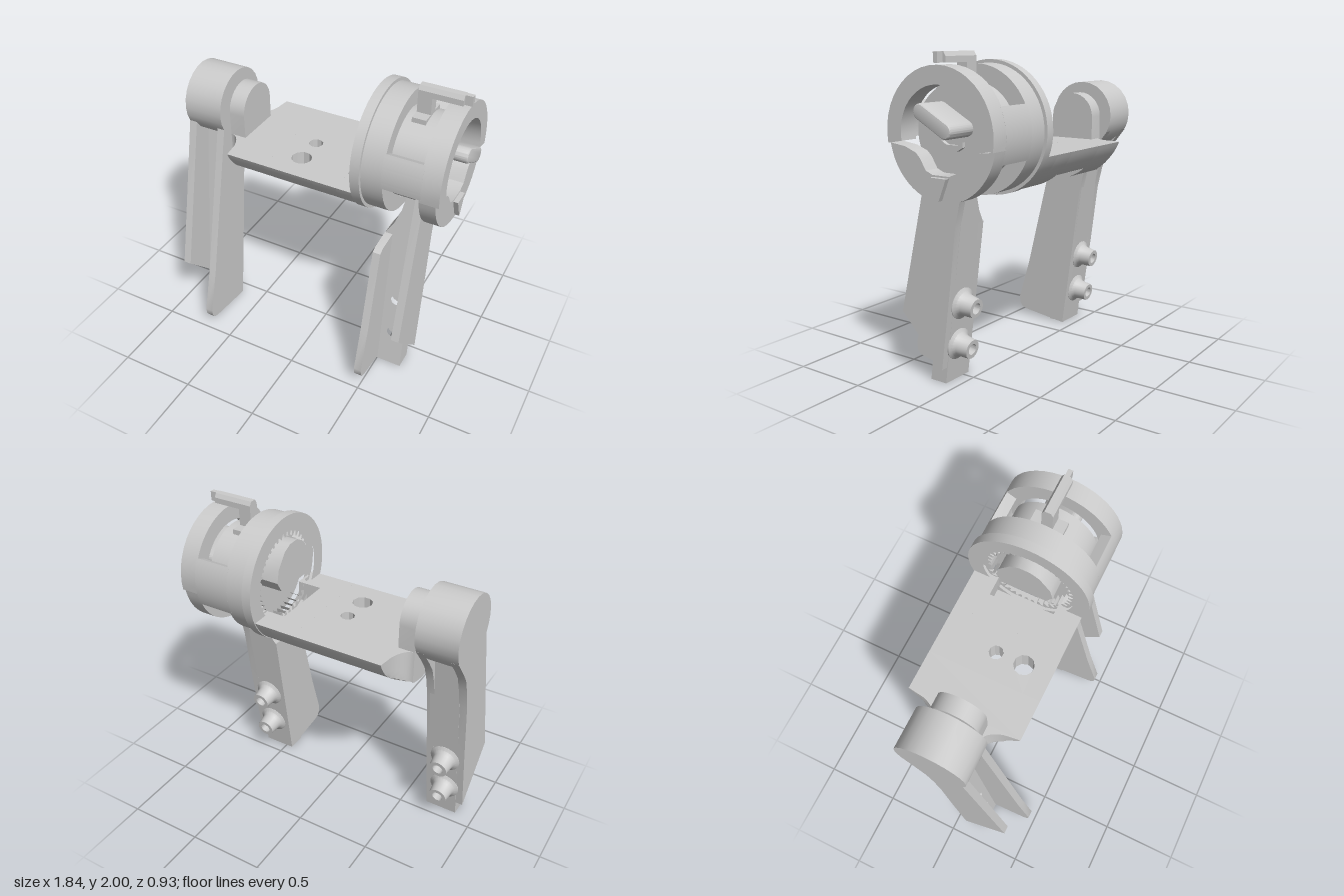
import * as THREE from 'three';
import { toCreasedNormals } from 'three/addons/utils/BufferGeometryUtils.js';

const CY = 1.55, CZ = -0.063;          // main axis, running along x
const D = Math.PI / 180;
const material = new THREE.MeshStandardMaterial({ color: 0xcccccc });

function add(group, name, geometry) {
  const mesh = new THREE.Mesh(toCreasedNormals(geometry, 0.5), material);
  mesh.name = name;
  group.add(mesh);
  return mesh;
}

// Shapes are drawn in the side plane as (-z, y) and extruded along x.
const side = pts => new THREE.Shape(pts.map(([z, y]) => new THREE.Vector2(-z, y)));

function along(shape, x0, x1, options = {}) {
  const b = options.bevelSize || 0;
  const g = new THREE.ExtrudeGeometry(shape, {
    depth: x1 - x0 - 2 * b, bevelEnabled: b > 0, bevelThickness: b, curveSegments: 32, ...options });
  return g.translate(0, 0, x0 + b).rotateY(Math.PI / 2);
}

// Points on a circle about the axis; angle 0 is the front, 90 the top.
function arc(r, a0, a1, n = 24) {
  return Array.from({ length: n + 1 }, (_, i) => {
    const a = (a0 + (a1 - a0) * i / n) * D;
    return [CZ + r * Math.cos(a), CY + r * Math.sin(a)];
  });
}
const sector = (r0, r1, a0, a1) => side([...arc(r1, a0, a1), ...arc(r0, a1, a0)]);

function ring(inner, r) {
  const s = side(arc(r, 0, 360, 64).slice(0, -1));
  s.holes.push(new THREE.Path(inner.map(([z, y]) => new THREE.Vector2(-z, y))));
  return s;
}
const circle = r => arc(r, 0, 360, 64).slice(0, -1);

function box(x0, x1, y0, y1, z0, z1) {
  return new THREE.BoxGeometry(x1 - x0, y1 - y0, z1 - z0)
    .translate((x0 + x1) / 2, (y0 + y1) / 2, (z0 + z1) / 2);
}

// One leg: a is the distance of its inner face from x = 0, s its side.
function makeLeg(name, s, a, tapered) {
  const leg = new THREE.Group();
  leg.name = name;
  const span = (shape, x0, x1) => along(shape, Math.min(s * x0, s * x1), Math.max(s * x0, s * x1));
  const front = [[0.13, 1.46], [0.18, 1.25], [0.38, 0.42]];
  const back = [[0, 0.6], [-0.05, 1], [-0.085, 1.15], [-0.12, 1.25], [-0.175, 1.33], [-0.26, 1.44]];
  const foot = [[0.465, 0.13], [0.46, 0.085], [0.44, 0.055], [0.4, 0.043], [0.08, 0]];
  add(leg, 'outerFin', span(side([...front, [0.07, 0.105], ...back]), a + 0.21, a + 0.262));
  add(leg, 'innerFin', span(side(tapered
    ? [[0.21, 0.98], [0.245, 0.96], [0.38, 0.42], ...foot, [0, 0.6], [-0.053, 1]]
    : [...front, ...foot, ...back]), a, a + 0.05));

  // Sloping web with two through holes
  const edge = tapered
    ? [[0, 0], [0, 0.99], [0.05, 1.07], [0.09, 1.17], [0.11, 1.28], [0.12, 1.45]]
    : [[0.02, 0], [0.02, 1.45]];
  const web = new THREE.Shape([...edge, [0.215, 1.45], [0.215, 0]]
    .map(([x, y]) => new THREE.Vector2(s * (a + x), y)));
  for (const y of [0.515, 0.255]) {
    const hole = new THREE.Path();
    hole.absarc(s * (a + 0.13), y, 0.035, 0, 2 * Math.PI, true);
    web.holes.push(hole);
  }
  const g = new THREE.ExtrudeGeometry(web, { depth: 0.12, bevelEnabled: false });
  const p = g.attributes.position;
  for (let i = 0; i < p.count; i++) p.setZ(i, p.getZ(i) + 0.08 - 0.133 * p.getY(i));
  add(leg, 'web', g);

  // Flared hollow bosses behind the holes
  for (const y of [0.505, 0.24]) {
    const profile = [[0.035, -0.01], [0.1, -0.01], [0.1, 0.003], [0.08, 0.015], [0.068, 0.035],
      [0.06, 0.11], [0.035, 0.11], [0.035, -0.01]].map(q => new THREE.Vector2(...q));
    const boss = add(leg, 'boss', new THREE.LatheGeometry(profile, 24));
    boss.rotation.x = -Math.PI / 2 - 0.13;
    boss.position.set(s * (a + 0.13), y, 0.08 - 0.133 * y);
  }
  // Pivot head
  if (!tapered) add(leg, 'pivotHead', span(side(arc(0.225, 0, 360, 24).slice(0, -1)), a, a + 0.262));
  return leg;
}

function makeTrough() {
  const t = new THREE.Group();
  t.name = 'trough';
  const R = 0.395, A = 22.3, B = 50.5;
  const segment = side(arc(R, -A, -180 + A, 32));
  add(t, 'troughBody', along(segment, -0.53, -0.27));
  add(t, 'troughBody', along(segment, 0.06, 0.22));
  // Pocket below the gear
  add(t, 'troughPocket', along(side([...arc(R, -A, -180 + A, 32),
    [-0.27, 1.4], [-0.27, 1.27], [0.14, 1.27], [0.14, 1.4]]), 0.22, 0.385));

  // Middle part, cut flat underneath and drilled
  add(t, 'troughSide', along(side([...arc(R, -A, -B, 8), [0.188, 1.4]]), -0.27, 0.06));
  add(t, 'troughSide', along(side([...arc(R, -180 + B, -180 + A, 8), [-0.314, 1.4]]), -0.27, 0.06));
  const plate = new THREE.Shape([[-0.27, -0.19], [0.06, -0.19], [0.06, 0.315], [-0.27, 0.315]]
    .map(q => new THREE.Vector2(...q)));
  for (const [z, r] of [[0.12, 0.065], [-0.065, 0.045]]) {
    const hole = new THREE.Path();
    hole.absarc(-0.105, -z, r, 0, 2 * Math.PI, true);
    plate.holes.push(hole);
  }
  add(t, 'drilledPlate', new THREE.ExtrudeGeometry(plate, { depth: 0.155, bevelEnabled: false, curveSegments: 5 })
    .rotateX(-Math.PI / 2).translate(0, 1.245, 0));

  // End narrows in a fillet to the width of the lug
  const end = along(segment, -0.635, -0.53, { steps: 8 });
  const p = end.attributes.position;
  for (let i = 0; i < p.count; i++) {
    const k = Math.min(1, Math.max(0, (p.getX(i) + 0.635) / 0.105));
    const w = 0.155 + 0.21 * (1 - Math.sqrt(1 - k * k));
    p.setZ(i, CZ + Math.min(w, Math.max(-w, p.getZ(i) - CZ)));
  }
  end.computeVertexNormals();
  add(t, 'filletEnd', end);
  add(t, 'lug', along(side([[CZ + 0.155, 1.3], ...arc(0.155, 0, 180, 16), [CZ - 0.155, 1.3]]), -0.635, -0.53));
  add(t, 'pivotNeck', new THREE.CylinderGeometry(0.08, 0.105, 0.035, 32)
    .rotateZ(Math.PI / 2).translate(-0.648, CY, CZ));
  return t;
}

function makeDrum() {
  const d = new THREE.Group();
  d.name = 'drum';
  add(d, 'flange', along(ring(circle(0.3), 0.4), 0.325, 0.385));
  add(d, 'drumWall', along(ring(circle(0.3), 0.38), 0.385, 0.52));
  add(d, 'drumFloor', along(side(circle(0.305)), 0.42, 0.515));

  // Internal gear
  const teeth = [], n = 40;
  for (let i = 0; i < n; i++)
    for (const [f, r] of [[0, 0.285], [0.3, 0.285], [0.5, 0.255], [0.8, 0.255]])
      teeth.push(arc(r, (i + f) * 360 / n, 0, 1)[0]);
  add(d, 'internalGear', along(ring(teeth, 0.302), 0.345, 0.42));
  add(d, 'gearKnob', along(side([[0.12, 1.6], [0.1, 1.68], [0.03, 1.77], [-0.03, 1.8], [-0.1, 1.8],
    [-0.16, 1.77], [-0.23, 1.68], [-0.25, 1.6], [-0.21, 1.53], [0.08, 1.53]]), 0.275, 0.43));

  // Side posts between the windows
  add(d, 'frontPost', along(sector(0.31, 0.38, -7, 26), 0.51, 0.75));
  add(d, 'backPost', along(sector(0.31, 0.38, 154, 203), 0.51, 0.75));

  // Outer ring with a recessed lower shield
  add(d, 'outerRing', along(sector(0.275, 0.38, -10, 190), 0.74, 0.86));
  add(d, 'lowerShield', along(side([...arc(0.38, -10, -170, 32), [-0.33, 1.47], [-0.24, 1.44], [-0.21, 1.41],
    [-0.17, 1.345], [-0.12, 1.325], [0, 1.325], [0.05, 1.345], [0.09, 1.41], [0.12, 1.44], [0.2, 1.47]]), 0.74, 0.84));
  add(d, 'pointer', along(side([[-0.005, 1.315], [-0.12, 1.315], [-0.066, 1.185], [-0.058, 1.185]]), 0.83, 0.87));

  // Hub and its face details
  add(d, 'hub', along(side(circle(0.275)), 0.5, 0.715));
  for (const z of [0.11, -0.235]) {
    const screw = arc(0.036, 0, 360, 20).slice(0, -1).map(([a, b]) => [a - CZ + z, b - CY + 1.665]);
    const socket = arc(0.02, 0, 360, 6).slice(0, -1).map(([a, b]) => [a - CZ + z, b - CY + 1.665]);
    const s = side(screw);
    s.holes.push(new THREE.Path(socket.map(([a, b]) => new THREE.Vector2(-a, b))));
    add(d, 'screw', along(s, 0.71, 0.73));
  }
  add(d, 'chevron', along(side([[0.015, 1.505], [-0.02, 1.485], [-0.1, 1.485], [-0.135, 1.505],
    [-0.135, 1.475], [-0.095, 1.45], [-0.025, 1.45], [0.015, 1.475]]), 0.71, 0.74));

  // Tilted turning handle with round ends
  const bar = new THREE.Shape();
  bar.absarc(0.1, 0, 0.032, -Math.PI / 2, Math.PI / 2, false);
  bar.absarc(-0.1, 0, 0.032, Math.PI / 2, Math.PI * 1.5, false);
  const handle = add(d, 'handle', along(bar, 0.71, 0.915, { bevelSize: 0.014, bevelSegments: 3 }));
  handle.position.set(0, 1.63, CZ);
  handle.rotation.x = -0.5;

  // Latch on top
  const z0 = CZ - 0.035, z1 = CZ + 0.035;
  add(d, 'latchBase', box(0.56, 0.645, 1.76, 1.835, -0.17, 0.04));
  add(d, 'latchStem', box(0.56, 0.645, 1.8, 1.97, z0, z1));
  add(d, 'latchBar', along(side([[z1, 1.94], [z1, 1.975], [z1 - 0.015, 2], [z0 + 0.015, 2],
    [z0, 1.975], [z0, 1.94]]), 0.56, 0.825));
  add(d, 'latchTip', box(0.82, 0.87, 1.94, 2, CZ - 0.015, CZ + 0.015));
  return d;
}

export function createModel() {
  const model = new THREE.Group();
  model.name = 'pivotStand';
  model.add(makeLeg('rightLeg', -1, 0.66, false), makeLeg('leftLeg', 1, 0.452, true), makeTrough(), makeDrum());
  return model;
}
